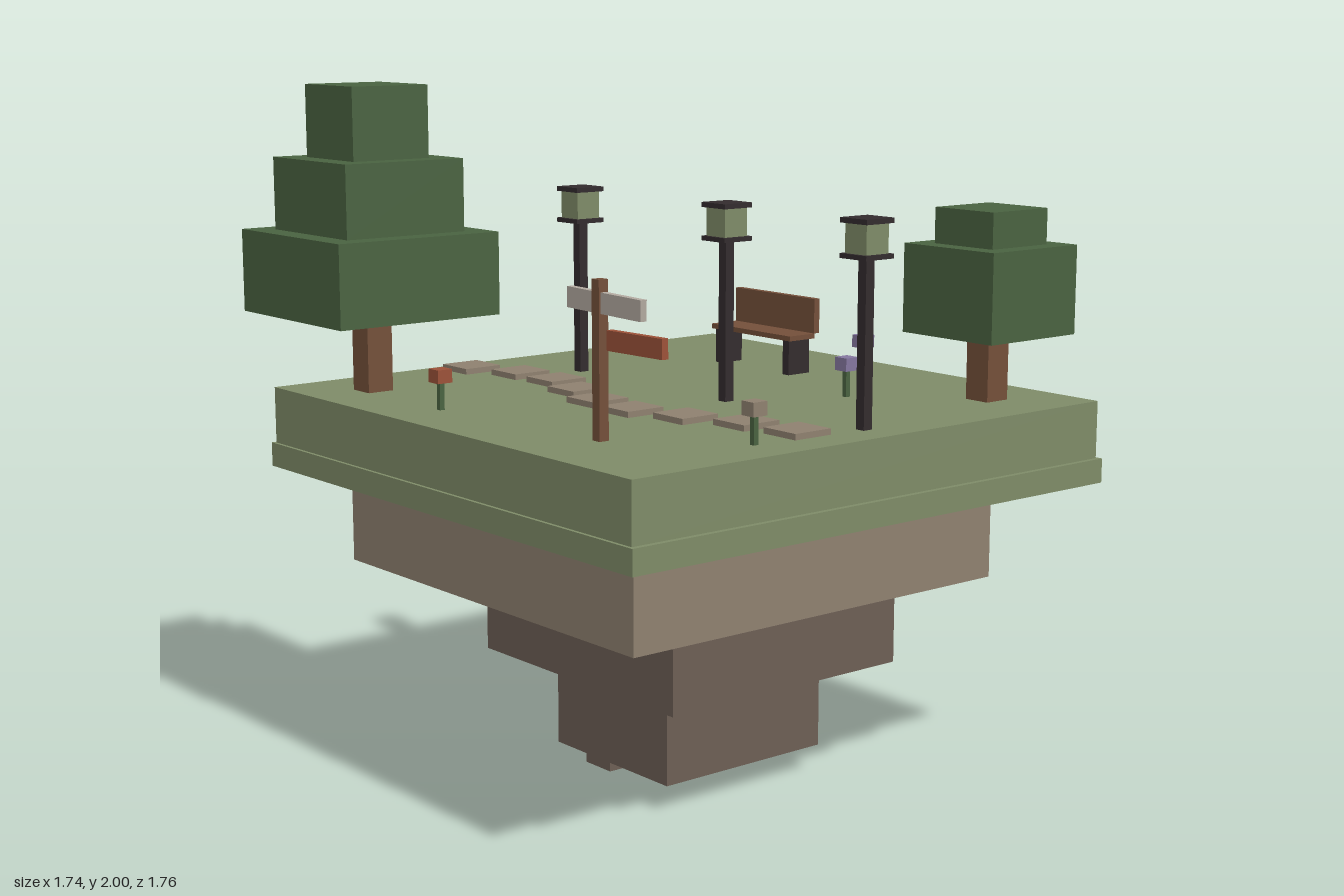
import * as THREE from 'three';

const mat = (name, color) => {
  const m = new THREE.MeshStandardMaterial({ color });
  m.name = name;
  return m;
};

export function createModel() {
  const grass = mat('grass green', 0x7f8c68);
  const soil = mat('soil tan', 0x8f8170);
  const rock = mat('rock brown', 0x6d5f55);
  const wood = mat('wood brown', 0x74503a);
  const leaf = mat('leaf green', 0x4a6341);
  const iron = mat('dark iron', 0x332c2e);
  const pale = mat('pale board', 0xb3aaa0);
  const rust = mat('rust red', 0x9c5239);
  const violet = mat('violet', 0x8577a0);

  const model = new THREE.Group();
  model.name = 'floatingPark';

  // Box given by its extents on each axis
  const box = (parent, name, material, [x0, x1], [y0, y1], [z0, z1]) => {
    const mesh = new THREE.Mesh(new THREE.BoxGeometry(x1 - x0, y1 - y0, z1 - z0), material);
    mesh.position.set((x0 + x1) / 2, (y0 + y1) / 2, (z0 + z1) / 2);
    mesh.name = name;
    parent.add(mesh);
    return mesh;
  };
  // Square column of width w around (x, z)
  const column = (parent, name, material, x, z, w, y0, y1) =>
    box(parent, name, material, [x - w / 2, x + w / 2], [y0, y1], [z - w / 2, z + w / 2]);
  const group = (name) => {
    const g = new THREE.Group();
    g.name = name;
    model.add(g);
    return g;
  };

  const ground = 1.12;

  // Island: grass slab, lip and stepped rock underneath
  const island = group('island');
  box(island, 'grassSlab', grass, [-0.83, 0.85], [0.955, ground], [-0.87, 0.815]);
  box(island, 'grassLip', grass, [-0.84, 0.865], [0.885, 0.955], [-0.88, 0.825]);
  box(island, 'soilLayer', soil, [-0.675, 0.655], [0.605, 0.885], [-0.65, 0.655]);
  box(island, 'upperRock', rock, [-0.4, 0.465], [0.343, 0.605], [-0.46, 0.37]);
  box(island, 'lowerRock', rock, [-0.2, 0.305], [0.08, 0.343], [-0.315, 0.26]);
  box(island, 'looseRock', rock, [-0.56, -0.435], [0.525, 0.605], [-0.35, -0.225]);
  box(island, 'bottomRock', rock, [-0.19, -0.075], [0, 0.08], [0.05, 0.165]);

  // Winding stepping-stone path
  const path = group('path');
  [0.193, 0.135, 0.13, 0.183, 0.245, 0.26, 0.213, 0.147, 0.123].forEach((z, i) =>
    column(path, 'pathStone', soil, -0.72 + i * 0.1745, z, 0.125, ground, ground + 0.017));

  // Trees: trunk and stacked foliage blocks [width, bottom, top]
  const tree = (name, x, z, tiers) => {
    const g = group(name);
    column(g, 'trunk', wood, x, z, 0.082, ground, tiers[0][1]);
    tiers.forEach(([w, y0, y1]) => column(g, 'foliage', leaf, x, z, w, y0, y1));
  };
  tree('tallTree', -0.606, 0.617, [[0.53, 1.347, 1.585], [0.39, 1.585, 1.793], [0.25, 1.793, 2]]);
  tree('smallTree', 0.63, -0.648, [[0.34, 1.31, 1.563], [0.22, 1.563, 1.665]]);

  // Lamp posts
  for (const x of [-0.495, 0.18, 0.74]) {
    const lamp = group('lampPost');
    column(lamp, 'pole', iron, x, -0.058, 0.03, ground, 1.575);
    column(lamp, 'lanternBase', iron, x, -0.058, 0.1, 1.575, 1.588);
    column(lamp, 'lantern', grass, x, -0.058, 0.08, 1.588, 1.668);
    column(lamp, 'lanternCap', iron, x, -0.058, 0.1, 1.668, 1.682);
  }

  // Bench
  const bench = group('bench');
  box(bench, 'seat', wood, [-0.38, -0.02], [1.225, 1.24], [-0.585, -0.483]);
  box(bench, 'backrest', wood, [-0.38, -0.02], [1.24, 1.345], [-0.603, -0.582]);
  for (const x of [-0.355, -0.045])
    box(bench, 'benchLeg', iron, [x - 0.0135, x + 0.0135], [ground, 1.225], [-0.573, -0.49]);

  // Signpost with two slightly tilted boards
  const sign = group('signpost');
  column(sign, 'signPole', wood, 0.42, 0.575, 0.03, ground, 1.54);
  box(sign, 'upperBoard', pale, [0.293, 0.598], [1.452, 1.507], [0.565, 0.585]).rotation.z = -0.02;
  box(sign, 'lowerBoard', rust, [0.46, 0.683], [1.362, 1.415], [0.565, 0.585]).rotation.z = 0.015;

  // Flowers
  const flowers = [[-0.213, 0.645, rust], [0.067, -0.705, violet], [0.347, -0.368, violet], [0.714, 0.306, soil]];
  for (const [x, z, petal] of flowers) {
    const flower = group('flower');
    column(flower, 'stem', leaf, x, z, 0.015, ground, 1.197);
    column(flower, 'blossom', petal, x, z, 0.047, 1.197, 1.235);
  }

  return model;
}
